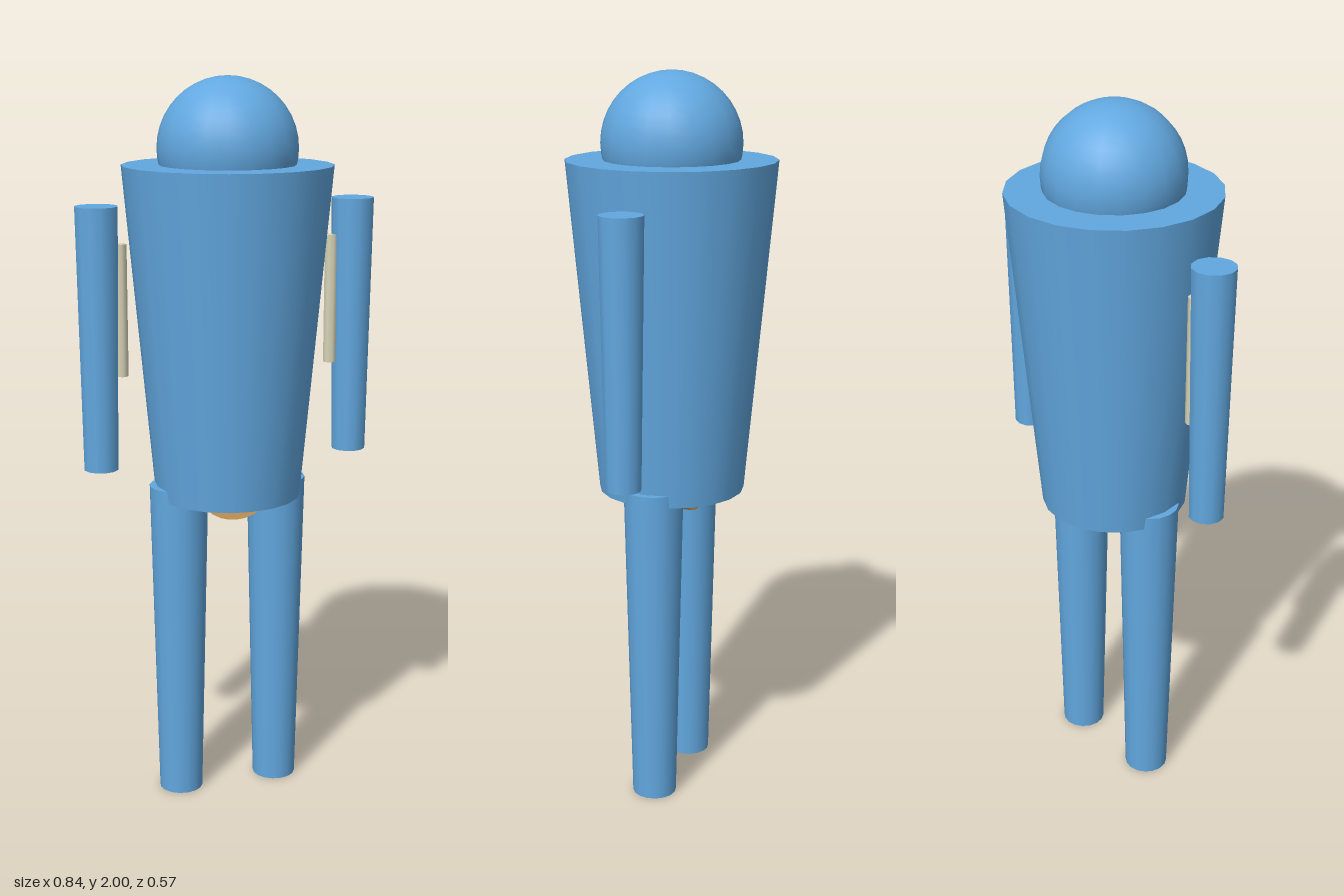
import * as THREE from 'three';

export function createModel() {
  const model = new THREE.Group();
  model.name = 'mannequin';

  const material = (name, color) => {
    const m = new THREE.MeshStandardMaterial({ color });
    m.name = name;
    return m;
  };
  const blue = material('blue', 0x62a8e0);
  const orange = material('orange', 0xe0aa66);
  const cream = material('cream', 0xd8d4b8);

  const add = (name, geometry, mat, x, y, z) => {
    const mesh = new THREE.Mesh(geometry, mat);
    mesh.name = name;
    mesh.position.set(x, y, z);
    model.add(mesh);
    return mesh;
  };
  // Upright tapered cylinder given by its bottom and top heights
  const column = (name, mat, x, y0, y1, rBottom, rTop, sides) =>
    add(name, new THREE.CylinderGeometry(rTop, rBottom, y1 - y0, sides), mat, x, (y0 + y1) / 2, 0);

  // Head and torso
  add('head', new THREE.SphereGeometry(0.188, 20, 20), blue, 0, 1.812, 0);
  column('torso', blue, 0, 0.868, 1.77, 0.2, 0.283, 20);

  // Short hip joint lying front to back between the legs
  const hip = add('hip', new THREE.CylinderGeometry(0.122, 0.122, 0.154, 32), orange, 0, 0.932, 0);
  hip.rotation.x = Math.PI / 2;

  // Paired limbs
  for (const [side, s] of [['left', 1], ['right', -1]]) {
    column(side + 'Leg', blue, s * 0.142, 0, 0.903, 0.061, 0.081, 16);
    column(side + 'Arm', blue, s * 0.36, 0.967, 1.673, 0.047, 0.058, 12);
    column(side + 'ShoulderRod', cream, s * 0.299, 1.22, 1.573, 0.019, 0.019, 8);
  }
  return model;
}
